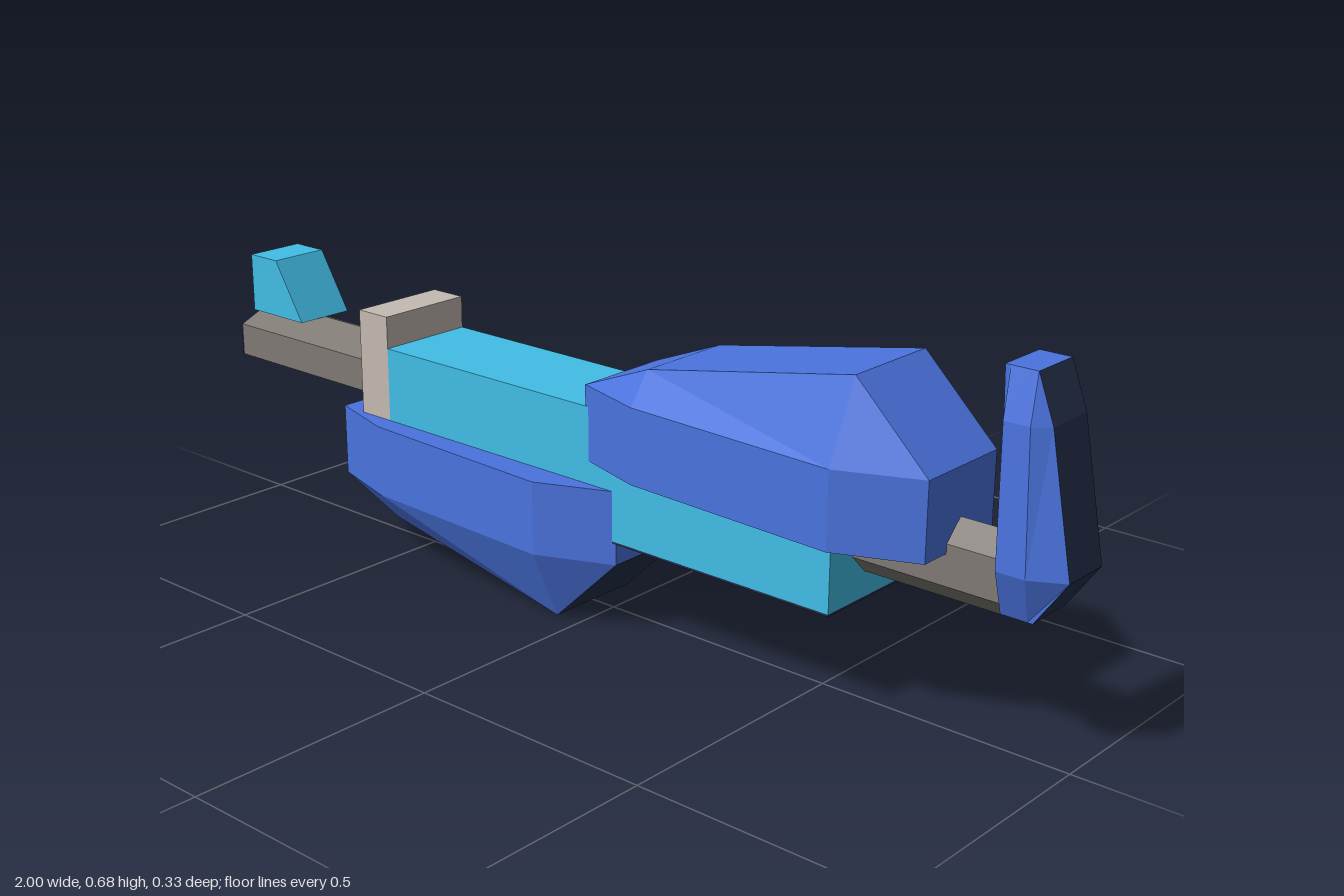
import * as THREE from 'three';

const mat = (name, color) => {
  const m = new THREE.MeshStandardMaterial({ color });
  m.name = name;
  return m;
};

// Faceted solid through rings of [x, y, z] points, each counterclockwise about the loft direction.
// isDark(segment, side) sends a face to the second material.
function loft(rings, isDark = () => false) {
  const main = [], dark = [];
  const tri = (list, a, b, c) => list.push(...a, ...b, ...c);
  const n = rings[0].length;
  for (let s = 0; s < rings.length - 1; s++) {
    const r0 = rings[s], r1 = rings[s + 1];
    for (let i = 0; i < n; i++) {
      const j = (i + 1) % n;
      const list = isDark(s, i) ? dark : main;
      tri(list, r0[i], r0[j], r1[j]);
      tri(list, r0[i], r1[j], r1[i]);
    }
  }
  const first = rings[0], last = rings[rings.length - 1];
  for (let i = 1; i < n - 1; i++) {
    tri(main, first[0], first[i + 1], first[i]);
    tri(main, last[0], last[i], last[i + 1]);
  }
  const g = new THREE.BufferGeometry();
  g.setAttribute('position', new THREE.Float32BufferAttribute([...main, ...dark], 3));
  g.addGroup(0, main.length / 3, 0);
  g.addGroup(main.length / 3, dark.length / 3, 1);
  g.computeVertexNormals();
  return g;
}

// Box given by its limits
function box(x0, x1, y0, y1, halfZ) {
  return new THREE.BoxGeometry(x1 - x0, y1 - y0, 2 * halfZ)
    .translate((x0 + x1) / 2, (y0 + y1) / 2, 0);
}

// Six-sided bar along x with a ridge at top and bottom
function hexBar(x0, x1, y, radius, halfZ) {
  const g = new THREE.CylinderGeometry(radius, radius, x1 - x0, 6)
    .rotateY(Math.PI / 6)
    .rotateZ(Math.PI / 2)
    .scale(1, 1, halfZ / (radius * Math.cos(Math.PI / 6)))
    .translate((x0 + x1) / 2, y, 0)
    .toNonIndexed();
  g.computeVertexNormals();
  return g;
}

export function createModel() {
  const group = new THREE.Group();
  const blue = mat('blue', 0x4a73de);
  const teal = mat('teal', 0x42bde6);
  const darkGrey = mat('darkGrey', 0x807a75);
  const lightGrey = mat('lightGrey', 0xc4bab3);
  const navy = mat('navy', 0x26314d);

  const add = (name, geometry, material) => {
    const mesh = new THREE.Mesh(geometry, material);
    mesh.name = name;
    group.add(mesh);
    return mesh;
  };

  // Main body with a dark underside, and front bracket
  add('body', box(-0.51, 0.58, 0.192, 0.44, 0.103), teal);
  add('bodyUnderside', box(-0.51, 0.58, 0.188, 0.192, 0.103), navy);
  add('bracket', box(-0.59, -0.51, 0.29, 0.505, 0.103), lightGrey);

  // Barrel with a dark muzzle, and rear rod
  add('barrel', hexBar(-0.996, -0.52, 0.358, 0.067, 0.08), darkGrey);
  add('muzzle', hexBar(-1, -0.996, 0.358, 0.067, 0.08), navy);
  add('rearRod', hexBar(0.55, 0.89, 0.315, 0.075, 0.038), darkGrey);

  // Sloped sight on top of the barrel
  const sight = new THREE.Shape([
    [-0.975, 0.424], [-0.82, 0.424], [-0.895, 0.545], [-0.975, 0.545],
  ].map(([x, y]) => new THREE.Vector2(x, y)));
  add('sight', new THREE.ExtrudeGeometry(sight, { depth: 0.126, bevelEnabled: false })
    .translate(0, 0, -0.063), teal);

  // Armoured pods: x, half width, height above the flat base
  const podRings = [
    [0, 0.1, 0.145], [0.15, 0.145, 0.205], [0.595, 0.165, 0.29], [0.745, 0.1, 0.145],
  ].map(([x, w, top]) => [
    [x, 0, -w], [x, 0.145, -w], [x, top, -0.1],
    [x, top, 0.1], [x, 0.145, w], [x, 0, w],
  ]);
  add('upperPod', loft(podRings), [blue, navy]).position.set(0.02, 0.335, 0);

  // The lower pod hangs upside down, dark below and along its back bevel
  const underside = (segment, side) => side === 2 || (side === 3 && segment < 2);
  const lowerPod = add('lowerPod', loft(podRings, underside), [blue, navy]);
  lowerPod.position.set(-0.65, 0.29, 0);
  lowerPod.rotation.x = Math.PI;

  // Butt plate with a dark outer face: y, inner x, inner bevel x, outer bevel x, outer x, half width
  const plateRings = [
    [0.266, 0.88, 0.89, 0.93, 0.94, 0.05],
    [0.352, 0.872, 0.885, 0.94, 1.0, 0.083],
    [0.6, 0.863, 0.876, 0.925, 0.952, 0.073],
    [0.684, 0.86, 0.87, 0.91, 0.92, 0.05],
  ].map(([y, xa, xi, xb, xr, w]) => [
    [xa, y, -0.05], [xa, y, 0.05], [xi, y, w], [xb, y, w],
    [xr, y, 0.05], [xr, y, -0.05], [xb, y, -w], [xi, y, -w],
  ]);
  add('buttPlate', loft(plateRings, (segment, side) => side === 4), [blue, navy]);

  return group;
}
